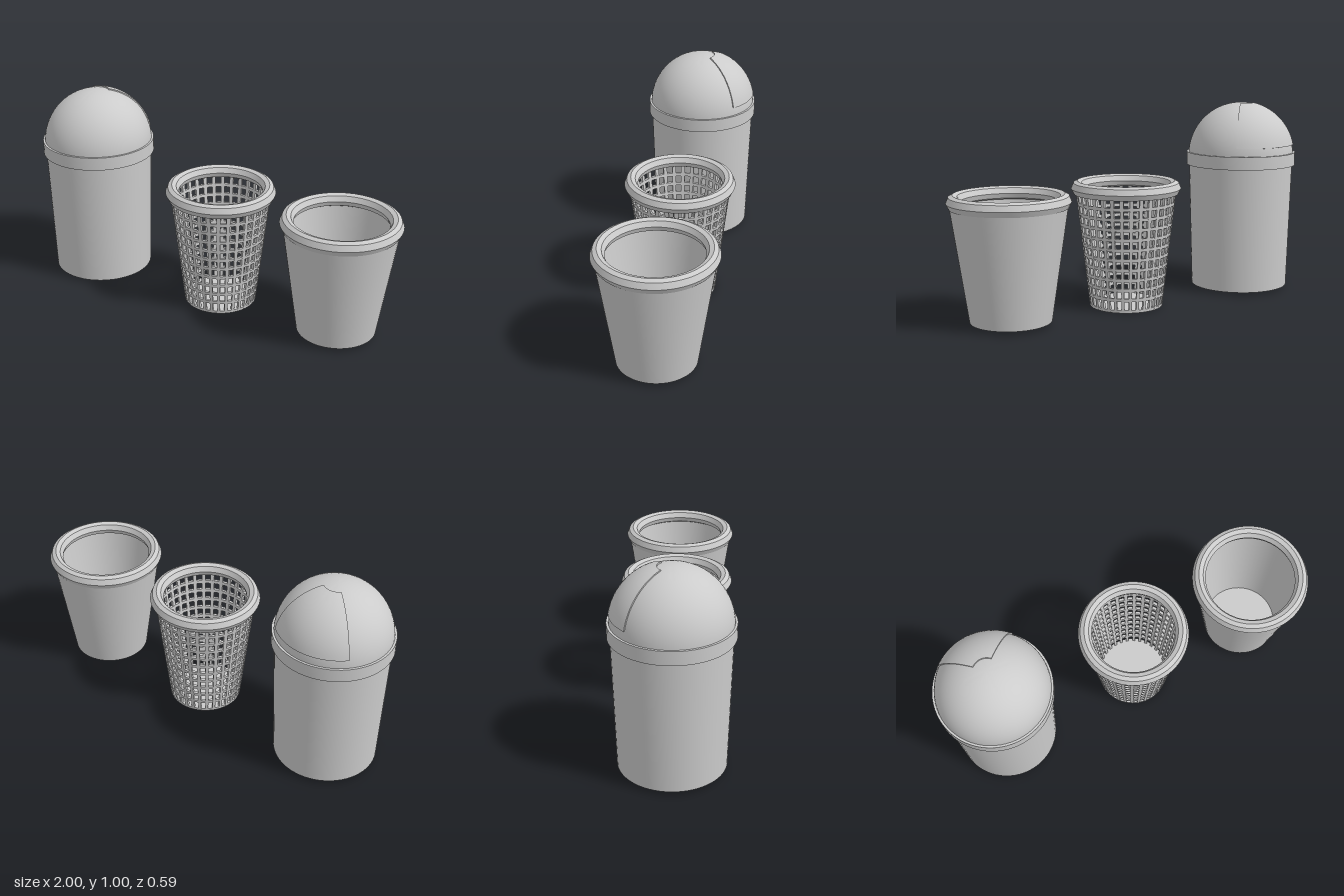
import * as THREE from 'three';
import { mergeGeometries, toCreasedNormals } from 'three/addons/utils/BufferGeometryUtils.js';

const material = new THREE.MeshStandardMaterial({ color: 0xcccccc });
const thinMaterial = new THREE.MeshStandardMaterial({ color: 0xcccccc, side: THREE.DoubleSide });
const vec = ([r, y]) => new THREE.Vector2(r, y);

function addMesh(parent, name, geometry, mat = material) {
  const mesh = new THREE.Mesh(geometry, mat);
  mesh.name = name;
  parent.add(mesh);
  return mesh;
}

// Turned shape with crisp corners; profile runs bottom axis -> outside -> top
function turned(profile, start = 0, length = Math.PI * 2, segments = 64) {
  return toCreasedNormals(new THREE.LatheGeometry(profile.map(vec), segments, start, length), 0.45);
}

// Chamfered collar: r is its widest radius, y its underside
function rim(r, y) {
  return turned([
    [r - 0.045, y], [r - 0.013, y], [r, y + 0.027], [r - 0.012, y + 0.056], [r - 0.032, y + 0.066],
    [r - 0.054, y + 0.058], [r - 0.068, y + 0.032], [r - 0.06, y + 0.008], [r - 0.045, y],
  ]);
}

// Points along a dome meridian, from polar angle a to b
function meridian(radius, centreY, a, b, steps) {
  return Array.from({ length: steps + 1 }, (_, i) => {
    const t = a + (b - a) * i / steps;
    return [Math.max(0, radius * Math.sin(t)), centreY + radius * Math.cos(t)];
  });
}

function domedBin() {
  const bin = new THREE.Group();
  bin.name = 'domedBin';
  const centreY = 0.722;
  addMesh(bin, 'binBody', turned([[0, 0.015], [0.257, 0.015], [0.277, 0.69]]));
  addMesh(bin, 'lidBand', turned([[0.274, 0.67], [0.29, 0.67], [0.29, 0.738], [0.278, 0.738]]));
  addMesh(bin, 'domeLid', turned(meridian(0.28, centreY, Math.PI / 2, 0, 18)));

  // Raised quarter-turn flap at the back of the dome
  const outer = meridian(0.286, centreY, 1.365, 0.23, 14);
  const inner = meridian(0.276, centreY, 0.23, 1.365, 14);
  const outline = [...outer, ...inner, outer[0]];
  const start = Math.PI * 0.75, sweep = Math.PI / 2;
  const flap = new THREE.Group();
  flap.name = 'lidFlap';
  addMesh(flap, 'flapShell', turned(outline, start, sweep, 20));
  for (const angle of [start, start + sweep]) {
    const edge = new THREE.ShapeGeometry(new THREE.Shape(outline.slice(0, -1).map(vec)));
    addMesh(flap, 'flapEdge', edge.rotateY(angle - Math.PI / 2), thinMaterial);
  }
  bin.add(flap);
  return bin;
}

function meshBin() {
  const bin = new THREE.Group();
  bin.name = 'meshBasket';
  const height = 0.59, wall = 0.014, columns = 32, rows = 11, base = 0.015;
  const radiusAt = (y) => 0.185 + 0.068 * y / height;
  addMesh(bin, 'basketFloor', turned([[0, 0], [0.185, 0], [radiusAt(base), base], [0, base]]));
  addMesh(bin, 'basketRim', rim(0.277, 0.575));

  // Upright ribs, widening with the taper
  const ribs = [];
  for (let i = 0; i < columns; i++) {
    const rib = new THREE.BoxGeometry(1, height, wall);
    const p = rib.attributes.position;
    for (let k = 0; k < p.count; k++) {
      const y = p.getY(k) + height / 2;
      const r = radiusAt(y);
      p.setXYZ(k, p.getX(k) * r * 0.075, y, r - wall / 2 + p.getZ(k));
    }
    rib.computeVertexNormals();
    ribs.push(rib.rotateY((i + 0.5) / columns * Math.PI * 2));
  }
  addMesh(bin, 'basketRibs', mergeGeometries(ribs));

  // Horizontal hoops between the rows of holes
  const hoops = [];
  const pitch = (0.58 - base) / rows;
  for (let j = 1; j < rows; j++) {
    const low = base + j * pitch - 0.008, high = low + 0.016;
    const a = radiusAt(low), b = radiusAt(high);
    hoops.push(turned([[a - wall, low], [a, low], [b, high], [b - wall, high], [a - wall, low]]));
  }
  addMesh(bin, 'basketHoops', mergeGeometries(hoops));
  return bin;
}

function openBin() {
  const bin = new THREE.Group();
  bin.name = 'openBin';
  addMesh(bin, 'binWall', turned([
    [0, 0.018], [0.197, 0.018], [0.28, 0.575], [0.268, 0.575], [0.188, 0.03], [0, 0.03],
  ]));
  addMesh(bin, 'binRim', rim(0.295, 0.565));
  return bin;
}

export function createModel() {
  const model = new THREE.Group();
  model.name = 'wasteBins';
  [[domedBin(), -0.71], [meshBin(), 0.04], [openBin(), 0.705]].forEach(([bin, x]) => {
    bin.position.x = x;
    model.add(bin);
  });
  return model;
}
